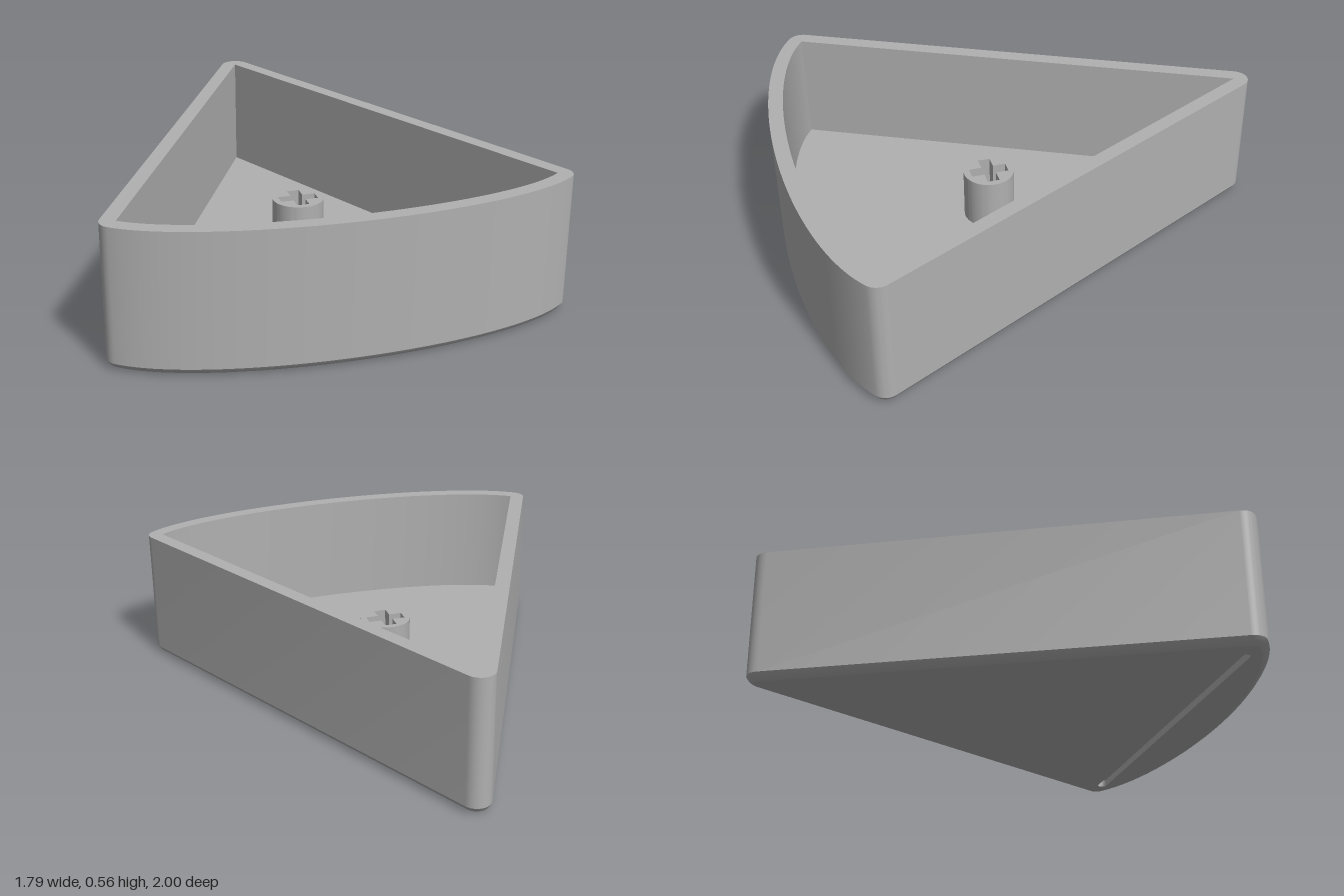
import * as THREE from 'three';
import { mergeGeometries, toCreasedNormals } from 'three/addons/utils/BufferGeometryUtils.js';

const HEIGHT = 0.56, FLOOR = 0.09, WALL = 0.06;
const APEX_Z = -0.94, CORNER = [0.833, 0.765], FRONT_Z = 0.94;

// Wedge outline with a curved front edge, offset outwards by d; points are [x, z]
function wedge(d) {
  const pts = [];
  const side = Math.atan2(-CORNER[0], CORNER[1] - APEX_Z);
  const a = 0.9, t0 = Math.acos(CORNER[0] / a);
  const b = (FRONT_Z - CORNER[1]) / (1 - Math.sin(t0)), zc = FRONT_Z - b;
  const normalAt = (t) => Math.atan2(a * Math.sin(t), b * Math.cos(t));
  const put = (x, z, n) => pts.push([x + d * Math.cos(n), z + d * Math.sin(n)]);
  const arc = (x, z, from, to, n) => {
    for (let i = 0; i < n; i++) put(x, z, from + (to - from) * i / n);
  };
  const front = normalAt(t0);
  arc(0, APEX_Z, -Math.PI - side, side, 12);
  put(0, APEX_Z, side);
  arc(CORNER[0], CORNER[1], side, front, 10);
  for (let i = 0; i <= 48; i++) {
    const t = t0 + (Math.PI - 2 * t0) * i / 48;
    put(a * Math.cos(t), zc + b * Math.sin(t), normalAt(t));
  }
  arc(-CORNER[0], CORNER[1], Math.PI - front, Math.PI - side, 10);
  put(-CORNER[0], CORNER[1], Math.PI - side);
  return pts;
}

// Long rounded slot outline
function slot(halfLength, r, z) {
  const pts = [];
  for (let s = 0; s < 2; s++) {
    for (let i = 0; i <= 8; i++) {
      const t = -Math.PI / 2 + Math.PI * (s + i / 8);
      pts.push([(s ? -1 : 1) * halfLength + r * Math.cos(t), z + r * Math.sin(t)]);
    }
  }
  return pts;
}

// Skin between successive closed outlines, given as [height, points]
function loft(rings) {
  const pos = [];
  for (let k = 0; k + 1 < rings.length; k++) {
    const [y0, p] = rings[k], [y1, q] = rings[k + 1];
    for (let i = 0; i < p.length; i++) {
      const j = (i + 1) % p.length;
      const A = [p[i][0], y0, p[i][1]], B = [p[j][0], y0, p[j][1]];
      const C = [q[i][0], y1, q[i][1]], D = [q[j][0], y1, q[j][1]];
      pos.push(...A, ...C, ...B, ...B, ...C, ...D);
    }
  }
  const g = new THREE.BufferGeometry();
  g.setAttribute('position', new THREE.Float32BufferAttribute(pos, 3));
  g.computeVertexNormals();
  return toCreasedNormals(g, 0.5);
}

// Flat cap facing up (1) or down (-1)
function cap(pts, y, facing, hole) {
  const toVec = (list) => list.map(([x, z]) => new THREE.Vector2(x, -facing * z));
  const shape = new THREE.Shape(toVec(pts));
  if (hole) shape.holes.push(new THREE.Path(toVec(hole)));
  const g = new THREE.ShapeGeometry(shape);
  g.rotateX(-facing * Math.PI / 2).translate(0, y, 0);
  g.deleteAttribute('uv');
  return g.toNonIndexed();
}

export function createModel() {
  const model = new THREE.Group();
  const grey = new THREE.MeshStandardMaterial({ color: 0xb0b0b0 });
  grey.name = 'grey';
  const add = (name, geometry) => {
    const mesh = new THREE.Mesh(geometry, grey);
    mesh.name = name;
    model.add(mesh);
    return mesh;
  };

  // Outer wall with eased lower edge, flat rim and inner wall
  const base = wedge(0.03), inner = wedge(0);
  add('wall', loft([
    [0, base], [0.012, wedge(0.048)], [0.03, wedge(WALL)],
    [HEIGHT, wedge(WALL)], [HEIGHT, inner], [FLOOR, inner],
  ]));
  add('floor', cap(inner, FLOOR, 1));

  // Underside with a straight groove between the front corners
  const groove = slot(0.765, 0.02, 0.77);
  add('underside', cap(base, 0, -1, groove));
  add('groove', mergeGeometries([loft([[0.03, groove], [0, groove]]), cap(groove, 0.03, -1)]));

  // Round stem with a cross-shaped socket
  const ring = new THREE.Shape().absarc(0, 0, 0.105, 0, Math.PI * 2, false);
  const l = 0.078, w = 0.025;
  const cross = [[w, w], [w, l], [-w, l], [-w, w], [-l, w], [-l, -w],
    [-w, -w], [-w, -l], [w, -l], [w, -w], [l, -w], [l, w]];
  ring.holes.push(new THREE.Path(cross.map(([x, y]) => new THREE.Vector2(x, y))));
  const stem = new THREE.ExtrudeGeometry(ring, { depth: 0.305 - FLOOR, bevelEnabled: false, curveSegments: 32 });
  stem.rotateX(-Math.PI / 2);
  add('stem', toCreasedNormals(stem, 0.5)).position.set(0, FLOOR, 0.14);

  return model;
}
